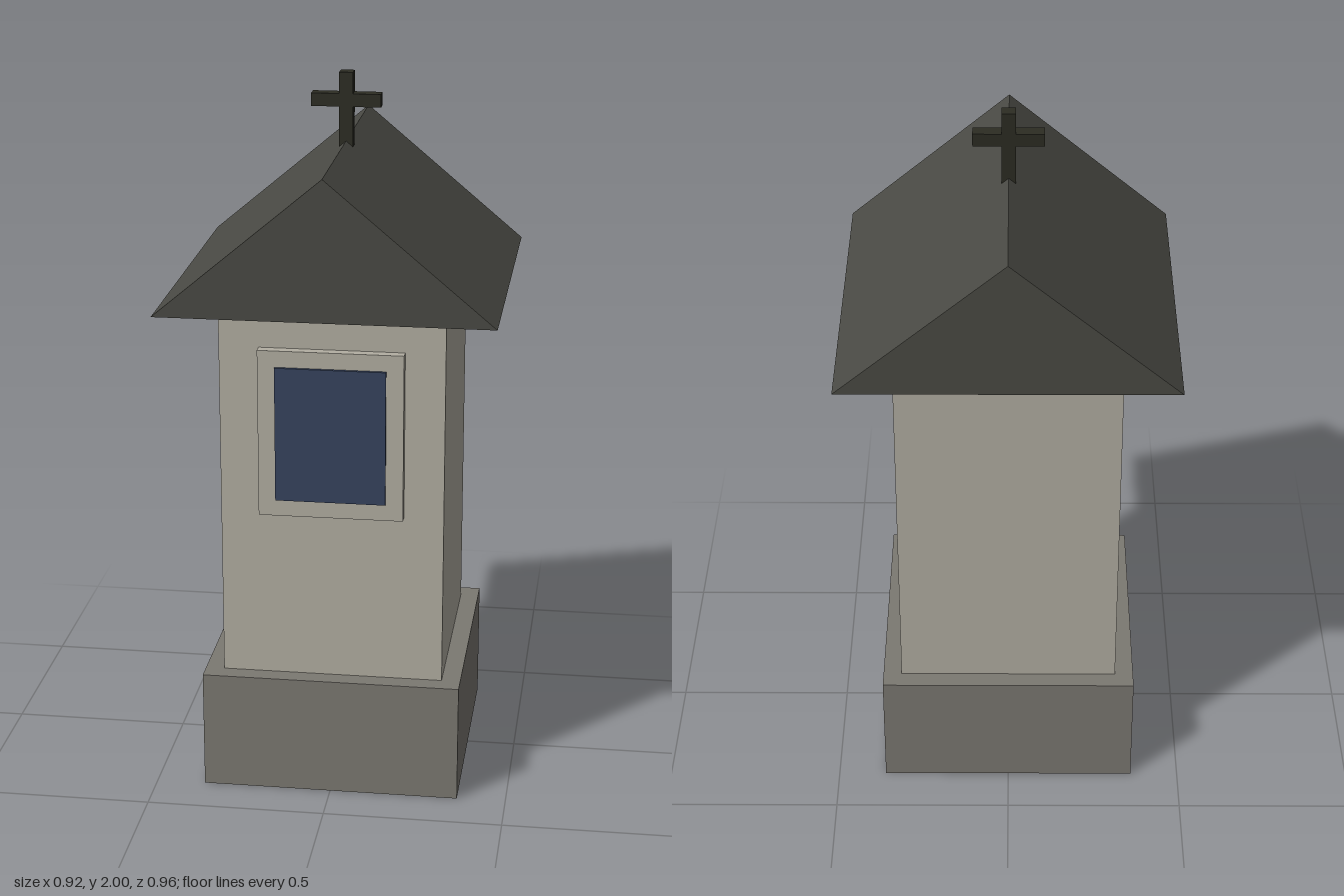
import * as THREE from 'three';

const material = (name, color, extra = {}) => {
  const m = new THREE.MeshStandardMaterial({ color, ...extra });
  m.name = name;
  return m;
};

export function createModel() {
  const group = new THREE.Group();
  const plaster = material('plaster', 0xb3afa3);
  const stone = material('plinth stone', 0x7c7972, { side: THREE.DoubleSide });
  const slate = material('roof slate', 0x4a4a44);
  const iron = material('dark iron', 0x2c2c23);
  const glass = material('blue glass', 0x36435f);

  const add = (name, geometry, mat) => {
    const mesh = new THREE.Mesh(geometry, mat);
    mesh.name = name;
    group.add(mesh);
    return mesh;
  };
  // Box spanning y0..y1 and z0..z1, centred on x
  const box = (name, mat, w, y0, y1, z0, z1) => {
    const g = new THREE.BoxGeometry(w, y1 - y0, z1 - z0);
    g.translate(0, (y0 + y1) / 2, (z0 + z1) / 2);
    return add(name, g, mat);
  };

  // Hollow plinth: a box shell without its bottom face
  const plinth = box('plinth', stone, 0.725, 0, 0.34, -0.3625, 0.3625);
  const index = Array.from(plinth.geometry.index.array);
  index.splice(18, 6);
  plinth.geometry.setIndex(index);
  plinth.geometry.clearGroups();

  // Shaft
  box('shaft', plaster, 0.62, 0.34, 1.425, -0.31, 0.31);

  // Niche on the front
  box('nicheFrame', plaster, 0.4, 0.825, 1.3, 0.31, 0.339);
  box('nichePane', glass, 0.304, 0.873, 1.254, 0.339, 0.348);

  // Gabled roof
  const gable = new THREE.Shape();
  gable.moveTo(-0.458, 1.425);
  gable.lineTo(0.458, 1.425);
  gable.lineTo(0, 1.81);
  gable.closePath();
  const roof = new THREE.ExtrudeGeometry(gable, { depth: 0.962, bevelEnabled: false });
  roof.translate(0, 0, -0.481);
  add('roof', roof, slate);

  // Cross on the ridge
  box('crossUpright', iron, 0.038, 1.79, 2, -0.019, 0.019);
  box('crossBar', iron, 0.192, 1.905, 1.941, -0.019, 0.019);

  return group;
}
